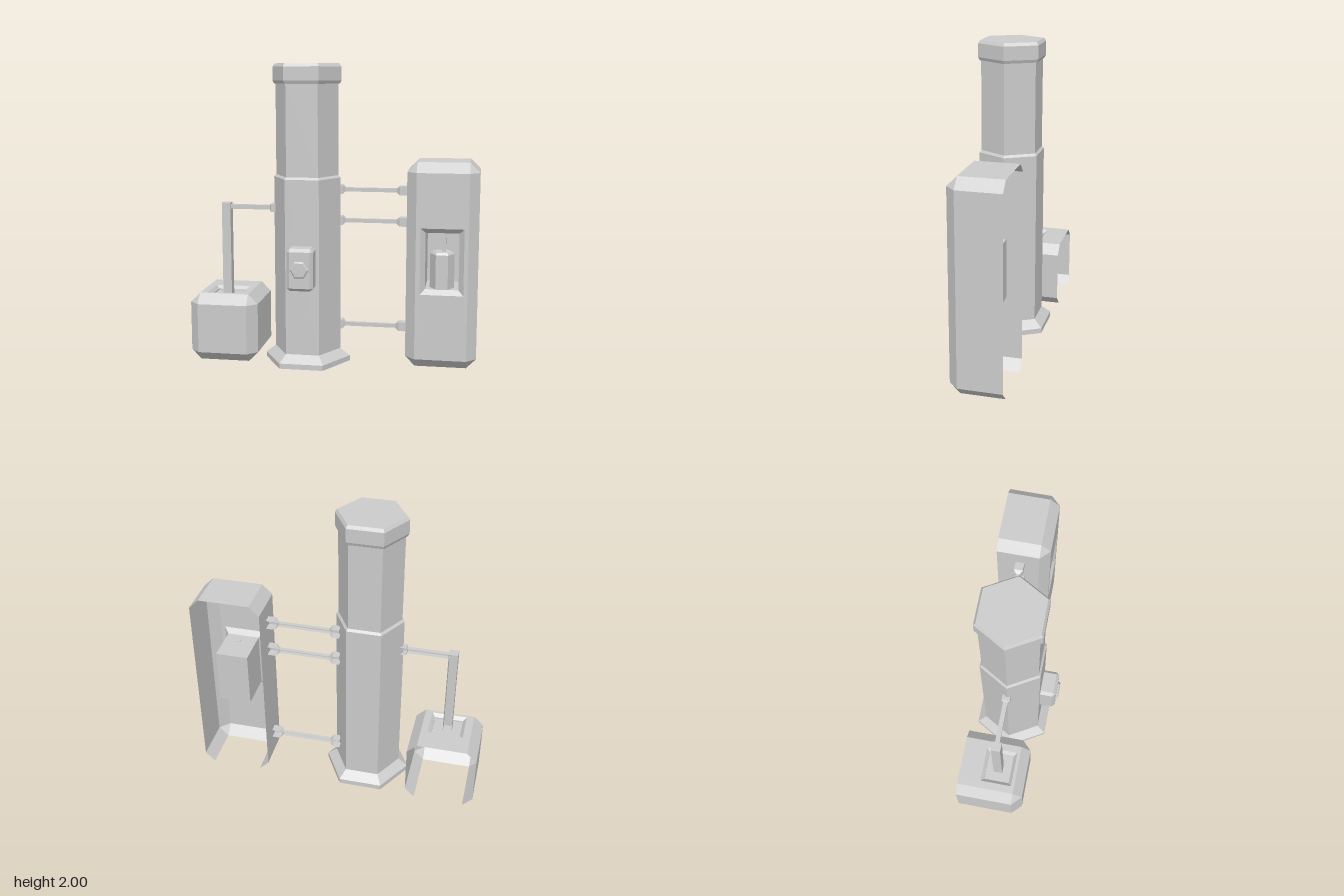
import * as THREE from 'three';

const material = new THREE.MeshStandardMaterial({ color: 0xcccccc, flatShading: true, side: THREE.DoubleSide });

function addMesh(parent, name, geometry, x = 0, y = 0, z = 0) {
  const mesh = new THREE.Mesh(geometry, material);
  mesh.name = name;
  mesh.position.set(x, y, z);
  parent.add(mesh);
  return mesh;
}

// Skins a row of cross-sections; keep(ring, side) can leave panels out.
function loft(rings, keep = () => true) {
  const out = [];
  for (let i = 0; i < rings.length - 1; i++) {
    const a = rings[i], b = rings[i + 1], n = a.length;
    for (let j = 0; j < n; j++) {
      if (!keep(i, j)) continue;
      const k = (j + 1) % n;
      out.push(...a[j], ...a[k], ...b[k], ...a[j], ...b[k], ...b[j]);
    }
  }
  const geometry = new THREE.BufferGeometry();
  geometry.setAttribute('position', new THREE.Float32BufferAttribute(out, 3));
  geometry.computeVertexNormals();
  return geometry;
}

// Rectangle corners, counter-clockwise from lower left
const corners = ([u0, u1, v0, v1]) => [[u0, v0], [u1, v0], [u1, v1], [u0, v1]];

function plate(rect, hole) {
  const shape = new THREE.Shape(corners(rect).map(p => new THREE.Vector2(...p)));
  if (hole) shape.holes.push(new THREE.Path(corners(hole).reverse().map(p => new THREE.Vector2(...p))));
  return new THREE.ShapeGeometry(shape);
}

// Chamfered housing with an open back; sides: 0 bottom, 2 right, 4 top, 6 left
function housing([x0, x1, y0, y1], back, front, c, openSides) {
  const outline = z => [
    [x0 + c, y0, z], [x1 - c, y0, z], [x1, y0 + c, z], [x1, y1 - c, z],
    [x1 - c, y1, z], [x0 + c, y1, z], [x0, y1 - c, z], [x0, y0 + c, z]];
  const face = corners([x0 + c, x1 - c, y0 + c, y1 - c]).flatMap(([x, y]) => [[x, y, front], [x, y, front]]);
  // Pair up the face corners so each chamfer corner closes to a triangle
  const inner = [face[0], face[2], face[2], face[4], face[4], face[6], face[6], face[0]];
  return loft([outline(back), outline(front - c), inner], (i, j) => i > 0 || !openSides.includes(j));
}

// Sunken pocket facing +z: bevelled rim, walls and floor
function pocket(rim, bevel, front, floor) {
  const [a, b, c, d] = rim;
  const inner = [a + bevel, b - bevel, c + bevel, d - bevel];
  const ring = (r, z) => corners(r).map(([x, y]) => [x, y, z]);
  const mid = [(a + b) / 2, (c + d) / 2, floor];
  return loft([ring(rim, front), ring(inner, front - bevel), ring(inner, floor), [mid, mid, mid, mid]]);
}

// Six-sided turned part with a corner on +x
function hexTurned(profile) {
  return new THREE.LatheGeometry(profile.map(p => new THREE.Vector2(...p)), 6, Math.PI / 2);
}

// Channel bar along x, open towards the back; stations are [x, half thickness]
function channelBar(stations) {
  return loft(
    stations.map(([x, h]) => [[x, h, -h], [x, h, h], [x, -h, h], [x, -h, -h]]),
    (i, j) => j < 3);
}

export function createModel() {
  const model = new THREE.Group();
  model.name = 'columnStation';

  // Central hexagonal column with foot flare and cap
  const column = new THREE.Group();
  column.name = 'column';
  column.position.set(-0.18, 0, -0.025);
  model.add(column);
  addMesh(column, 'columnShaft', hexTurned([
    [0.29, 0], [0.29, 0.035], [0.225, 0.085], [0.225, 1.255], [0.21, 1.27], [0.21, 1.88]]));
  addMesh(column, 'columnCap', hexTurned([
    [0.205, 1.87], [0.22, 1.87], [0.23, 1.89], [0.23, 1.98], [0.215, 2], [0, 2]]));

  // Control box with hexagonal knob
  const control = [-0.265, -0.09, 0.54, 0.82];
  const c = 0.02;
  addMesh(model, 'controlBox', housing(control, 0.15, 0.275, c, []));
  addMesh(model, 'controlFace', plate([control[0] + c, control[1] - c, control[2] + c, control[3] - c]), 0, 0, 0.275);
  const knob = hexTurned([[0.062, 0], [0.062, 0.007], [0.052, 0.015], [0, 0.015]]);
  addMesh(model, 'controlKnob', knob.rotateX(Math.PI / 2), -0.178, 0.685, 0.275);

  // Tall cabinet with a recessed bay
  const cabinet = new THREE.Group();
  cabinet.name = 'cabinet';
  model.add(cabinet);
  const bay = [0.585, 0.868, 0.505, 0.945];
  addMesh(cabinet, 'cabinetShell', housing([0.49, 0.96, 0, 1.37], -0.265, 0.085, 0.065, [0]));
  addMesh(cabinet, 'cabinetFront', plate([0.555, 0.895, 0.065, 1.305], bay), 0, 0, 0.085);
  addMesh(cabinet, 'cabinetBay', pocket(bay, 0.032, 0.085, -0.195));
  addMesh(cabinet, 'bayCanister', hexTurned([[0.08, 0.53], [0.08, 0.765], [0.068, 0.78], [0, 0.78]]), 0.725, 0, -0.015);
  addMesh(cabinet, 'bayRod', new THREE.BoxGeometry(0.026, 0.145, 0.026), 0.735, 0.845, -0.015);

  // Three arms tying the cabinet to the column
  for (const y of [1.165, 0.955, 0.235]) {
    addMesh(model, 'cabinetArm', channelBar([
      [0, 0.03], [0.05, 0.03], [0.068, 0.013], [0.412, 0.013], [0.435, 0.03], [0.495, 0.03]]), 0, y, -0.11);
  }

  // Low tank with a shallow tray in its top
  const tank = new THREE.Group();
  tank.name = 'tank';
  model.add(tank);
  addMesh(tank, 'tankShell', housing([-0.965, -0.5, 0, 0.465], -0.29, 0.165, 0.065, [0, 4]));
  addMesh(tank, 'tankFront', plate([-0.9, -0.565, 0.065, 0.4]), 0, 0, 0.165);
  const tray = [-0.85, -0.612, -0.08, 0.135];
  const lid = plate([-0.9, -0.565, -0.1, 0.29], tray).rotateX(-Math.PI / 2);
  addMesh(tank, 'tankTop', lid, 0, 0.465, 0);
  addMesh(tank, 'tankTray', pocket(tray, 0.022, 0, -0.03).rotateX(-Math.PI / 2), 0, 0.465, 0);

  // Standpipe channel, open at the back, and its arm to the column
  const post = channelBar([[0.435, 0.03], [1.07, 0.03]]).rotateZ(Math.PI / 2);
  addMesh(model, 'standpipe', post, -0.735, 0, -0.03);
  addMesh(model, 'standpipeTop', new THREE.PlaneGeometry(0.06, 0.06).rotateX(-Math.PI / 2), -0.735, 1.07, -0.03);
  addMesh(model, 'standpipeArm', channelBar([
    [-0.71, 0.015], [-0.435, 0.015], [-0.425, 0.027], [-0.385, 0.027]]), 0, 1.043, -0.03);

  return model;
}
